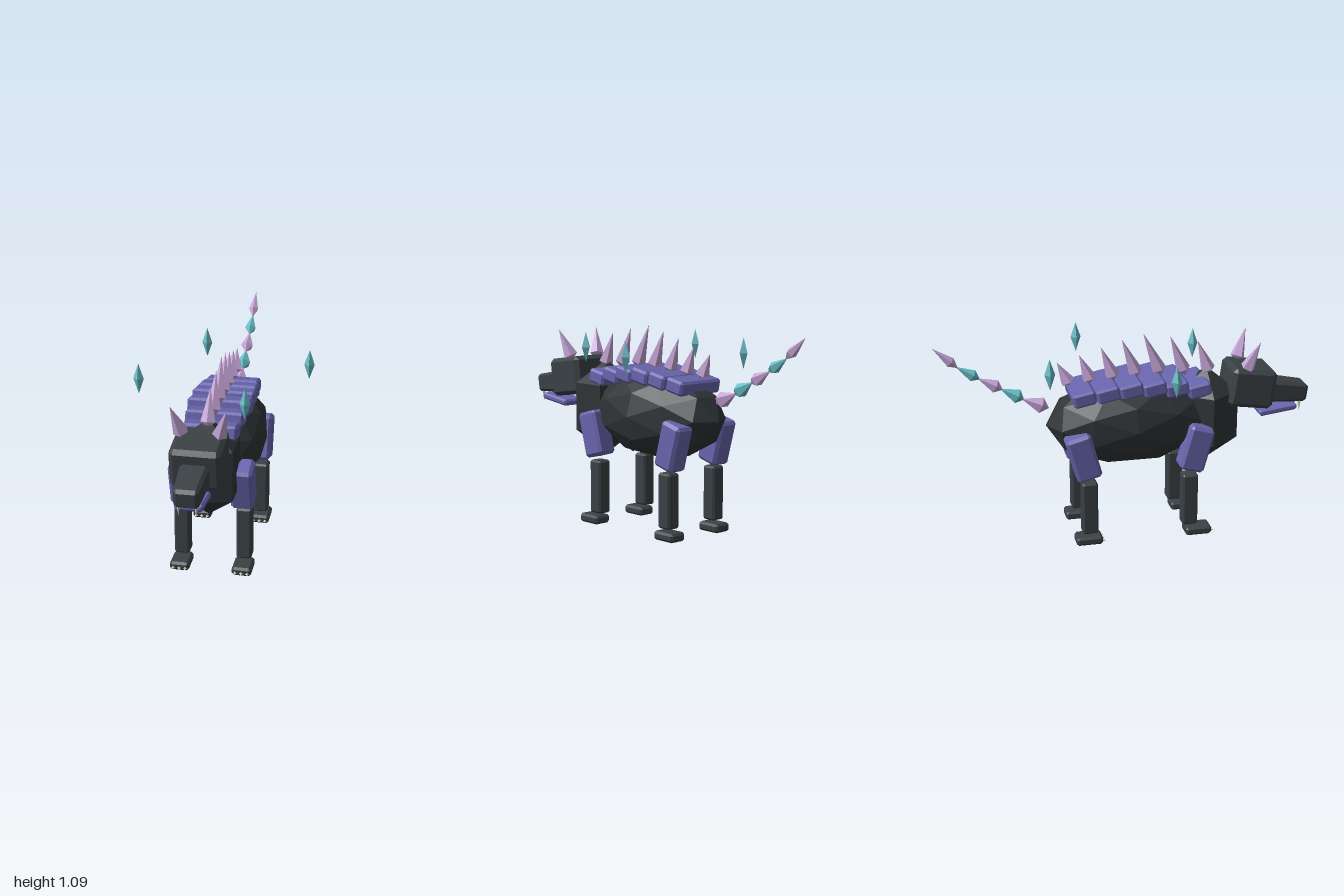
import * as THREE from 'three';
import { ConvexGeometry } from 'three/addons/geometries/ConvexGeometry.js';

const V = (x, y, z) => new THREE.Vector3(x, y, z);

// Flat facets baked into the geometry
function flat(geometry) {
  const g = geometry.index ? geometry.toNonIndexed() : geometry;
  g.computeVertexNormals();
  return g;
}

// Box with chamfered edges; taper scales the front (+z) end
function chamferBox(w, h, d, c, taperX = 1, taperY = 1) {
  const pts = [];
  for (const sx of [-1, 1]) for (const sy of [-1, 1]) for (const sz of [-1, 1]) {
    for (let axis = 0; axis < 3; axis++) {
      const inset = [0, 1, 2].map(i => (i === axis ? 0 : c));
      const p = V(sx * (w / 2 - inset[0]), sy * (h / 2 - inset[1]), sz * (d / 2 - inset[2]));
      const t = p.z / d + 0.5;
      p.x *= 1 + (taperX - 1) * t;
      p.y *= 1 + (taperY - 1) * t;
      pts.push(p);
    }
  }
  return new ConvexGeometry(pts);
}

// Faceted spike between two points, widest at the given fraction of its length
function spike(from, to, radius, sides, waist) {
  const dir = to.clone().sub(from);
  const len = dir.length();
  const profile = [[0, 0], [radius, waist * len], [0, len]].map(p => new THREE.Vector2(...p));
  const g = flat(new THREE.LatheGeometry(profile, sides));
  g.applyQuaternion(new THREE.Quaternion().setFromUnitVectors(V(0, 1, 0), dir.normalize()));
  g.translate(from.x, from.y, from.z);
  return g;
}

export function createModel() {
  const model = new THREE.Group();
  model.name = 'spikedBeast';

  const mat = (name, color) => {
    const m = new THREE.MeshStandardMaterial({ color });
    m.name = name;
    return m;
  };
  const hide = mat('darkHide', 0x2f3437);
  const stone = mat('slate', 0x3a4144);
  const armor = mat('violetArmor', 0x6865ae);
  const pink = mat('lilacSpike', 0xc6a6d8);
  const teal = mat('tealCrystal', 0x69bec8);
  const bone = mat('bone', 0xd2cfb8);

  function add(name, geometry, material, x = 0, y = 0, z = 0, rx = 0, parent = model) {
    const m = new THREE.Mesh(geometry, material);
    m.name = name;
    m.position.set(x, y, z);
    m.rotation.x = rx;
    parent.add(m);
    return m;
  }

  // Body and chest
  const bodyGeo = new THREE.IcosahedronGeometry(1, 1);
  bodyGeo.rotateX(Math.PI / 2);
  bodyGeo.scale(0.23, 0.237, 0.45);
  add('body', flat(bodyGeo), hide, 0, 0.63, 0.02);
  const chestGeo = new THREE.SphereGeometry(1, 5, 3);
  chestGeo.scale(0.2, 0.264, 0.2);
  add('chest', flat(chestGeo), hide, 0, 0.63, 0.44);

  // Head, snout and jaw
  add('head', chamferBox(0.254, 0.212, 0.246, 0.022), stone, 0, 0.786, 0.67, 0.14);
  add('snout', chamferBox(0.15, 0.13, 0.27, 0.018, 0.8, 0.76), stone, 0, 0.735, 0.865, 0.13);
  add('jaw', chamferBox(0.138, 0.036, 0.21, 0.01), armor, 0, 0.637, 0.833, -0.13);
  for (const s of [-1, 1]) {
    add('fang', spike(V(s * 0.043, 0.69, 0.955), V(s * 0.043, 0.618, 0.957), 0.011, 4, 0.15), bone);
    add('horn', spike(V(s * 0.09, 0.885, 0.633), V(s * 0.137, 1.053, 0.695), 0.04, 5, 0.12), pink);
  }

  // Overlapping back plates: [z, y, width]
  const plates = [
    [0.375, 0.805, 0.28], [0.25, 0.825, 0.3], [0.127, 0.84, 0.33],
    [0.003, 0.84, 0.33], [-0.12, 0.825, 0.315], [-0.243, 0.805, 0.29],
  ];
  for (const [z, y, w] of plates) {
    add('backPlate', chamferBox(w, 0.075, 0.122, 0.012), armor, 0, y, z, -0.2);
  }

  // Row of back spikes: [base z, base y, tip z, tip y]
  const spikes = [
    [0.46, 0.85, 0.39, 1.04], [0.325, 0.855, 0.24, 1.075], [0.195, 0.86, 0.095, 1.1],
    [0.065, 0.86, -0.02, 1.075], [-0.06, 0.855, -0.132, 1.04],
    [-0.185, 0.85, -0.247, 1.005], [-0.3, 0.845, -0.365, 0.973],
  ];
  for (const [bz, by, tz, ty] of spikes) {
    add('backSpike', spike(V(0, by, bz), V(0, ty, tz), 0.04, 5, 0.16), pink);
  }

  // Tail of alternating crystals: [z, y] along its curve
  const tail = [[-0.41, 0.725], [-0.54, 0.782], [-0.65, 0.845], [-0.765, 0.91], [-0.875, 0.98], [-1, 1.092]];
  for (let i = 0; i < 5; i++) {
    const a = V(0, tail[i][1], tail[i][0]);
    const b = V(0, tail[i + 1][1], tail[i + 1][0]);
    b.lerp(a, i < 4 ? -0.12 : 0);
    add('tailSegment', spike(a, b, 0.044 - i * 0.004, 5, 0.3), i % 2 ? teal : pink);
  }

  // Legs: [name, thigh z, thigh tilt, shin z, foot z]
  const legs = [
    ['frontLeg', 0.345, 0.27, 0.312, 0.36],
    ['hindLeg', -0.262, -0.27, -0.232, -0.238],
  ];
  for (const [name, thighZ, tilt, shinZ, footZ] of legs) {
    for (const s of [-1, 1]) {
      const leg = new THREE.Group();
      leg.name = name;
      model.add(leg);
      add('thigh', chamferBox(0.116, 0.248, 0.136, 0.016), armor, s * 0.159, 0.503, thighZ, tilt, leg);
      add('shin', chamferBox(0.08, 0.292, 0.084, 0.01), stone, s * 0.165, 0.214, shinZ, 0, leg);
      add('foot', chamferBox(0.102, 0.047, 0.142, 0.012), stone, s * 0.165, 0.029, footZ, 0, leg);
      for (const k of [-1, 0, 1]) {
        const x = s * 0.165 + k * 0.032;
        add('claw', spike(V(x, 0.023, footZ + 0.06), V(x, 0.021, footZ + 0.086), 0.01, 4, 0.4), bone, 0, 0, 0, 0, leg);
      }
    }
  }

  // Floating crystals: [x, z]
  for (const [x, z] of [[-0.18, -0.43], [0.42, -0.19], [-0.422, 0.17], [0.177, 0.41]]) {
    const g = new THREE.OctahedronGeometry(1);
    g.scale(0.028, 0.083, 0.028);
    add('floatingCrystal', flat(g), teal, x, 0.971, z);
  }

  return model;
}
